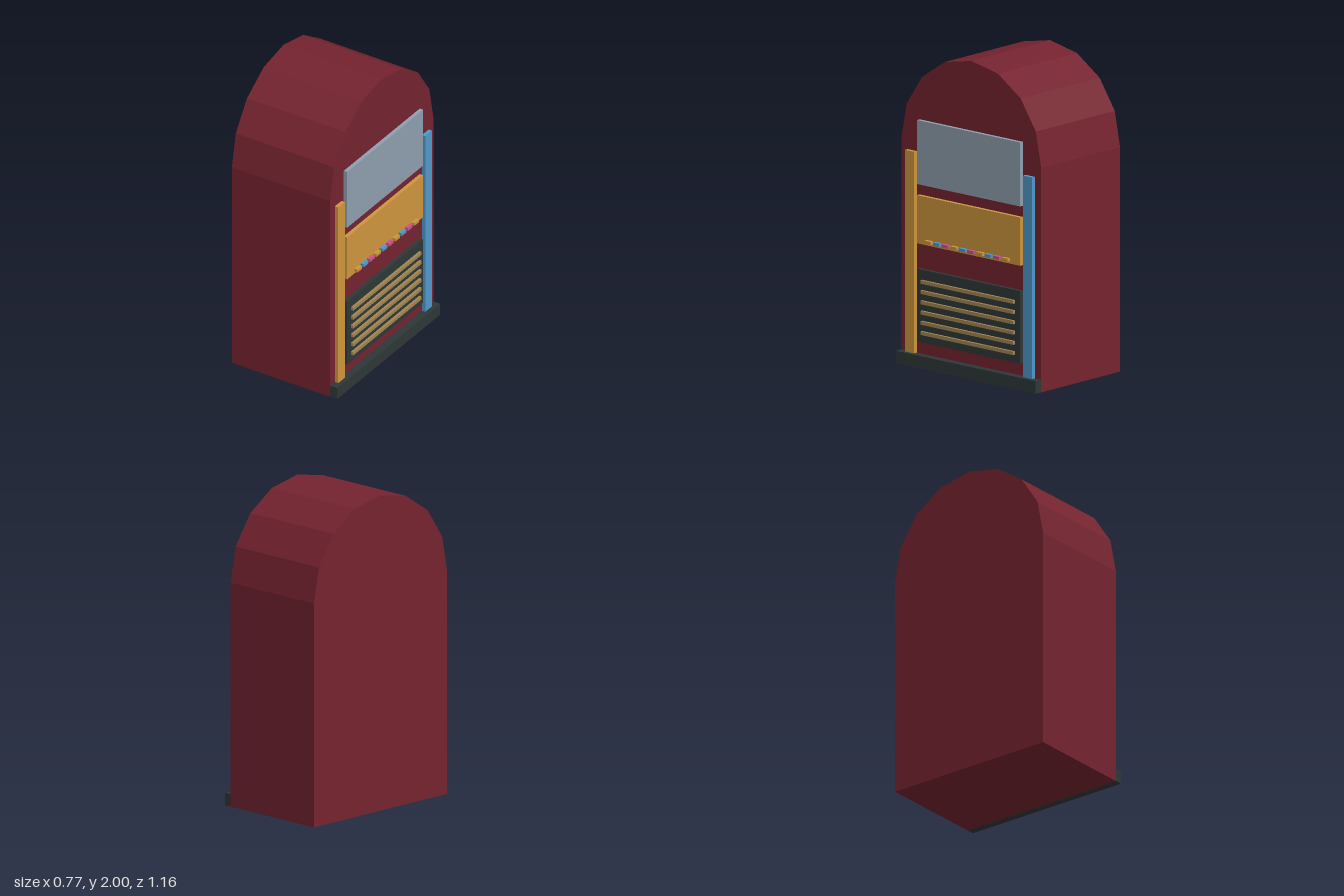
import * as THREE from 'three';

const paint = (name, color) => {
  const m = new THREE.MeshStandardMaterial({ color });
  m.name = name;
  return m;
};

export function createModel() {
  const red = paint('cabinet red', 0x74232f);
  const amber = paint('amber', 0xcd953c);
  const blue = paint('blue', 0x5097c9);
  const pink = paint('pink', 0xc9528c);
  const glass = paint('grey glass', 0x8e9fae);
  const dark = paint('charcoal', 0x2e3737);
  const brass = paint('dull brass', 0xa28550);

  const model = new THREE.Group();
  model.name = 'jukebox';
  const half = 0.58, back = -0.385, face = 0.335, panelFace = 0.36;

  // Box given by its limits on each axis
  const slab = (name, mat, x0, x1, y0, y1, z0, z1, parent = model) => {
    const mesh = new THREE.Mesh(new THREE.BoxGeometry(x1 - x0, y1 - y0, z1 - z0), mat);
    mesh.position.set((x0 + x1) / 2, (y0 + y1) / 2, (z0 + z1) / 2);
    mesh.name = name;
    parent.add(mesh);
  };

  // Cabinet with an eight-sided arched top, extruded along x
  const outline = new THREE.Shape();
  outline.moveTo(-half, 0);
  outline.lineTo(half, 0);
  for (let i = 0; i <= 8; i++) {
    const a = (i / 8) * Math.PI;
    outline.lineTo(half * Math.cos(a), 1.42 + half * Math.sin(a));
  }
  outline.closePath();
  const cabinetGeo = new THREE.ExtrudeGeometry(outline, { depth: face - back, bevelEnabled: false });
  cabinetGeo.rotateY(Math.PI / 2);
  const cabinet = new THREE.Mesh(cabinetGeo, red);
  cabinet.position.x = back;
  cabinet.name = 'cabinet';
  model.add(cabinet);

  // Plinth, light strips and panels on the +x face
  slab('plinth', dark, face, 0.385, 0, 0.08, -half, half);
  slab('amberLightStrip', amber, face, panelFace, 0.08, 1.355, 0.452, 0.528);
  slab('blueLightStrip', blue, face, panelFace, 0.08, 1.355, -0.528, -0.452);
  slab('displayWindow', glass, face, panelFace, 1.155, 1.56, -0.428, 0.428);
  slab('selectionPanel', amber, face, panelFace, 0.78, 1.085, -0.428, 0.428);
  slab('speakerPanel', dark, face, panelFace, 0.16, 0.62, -0.428, 0.428);

  // Speaker slats
  const slats = new THREE.Group();
  slats.name = 'speakerSlats';
  for (let i = 0; i < 6; i++) {
    const y = 0.222 + i * 0.0648;
    slab('slat', brass, panelFace, 0.377, y - 0.011, y + 0.011, -0.385, 0.385, slats);
  }
  model.add(slats);

  // Row of selector buttons
  const buttons = new THREE.Group();
  buttons.name = 'selectorButtons';
  for (let i = 0; i < 10; i++) {
    const z = 0.32 - i * 0.0711;
    slab('button', [amber, blue, pink][i % 3], panelFace, 0.383, 0.795, 0.815, z - 0.026, z + 0.026, buttons);
  }
  model.add(buttons);

  return model;
}
